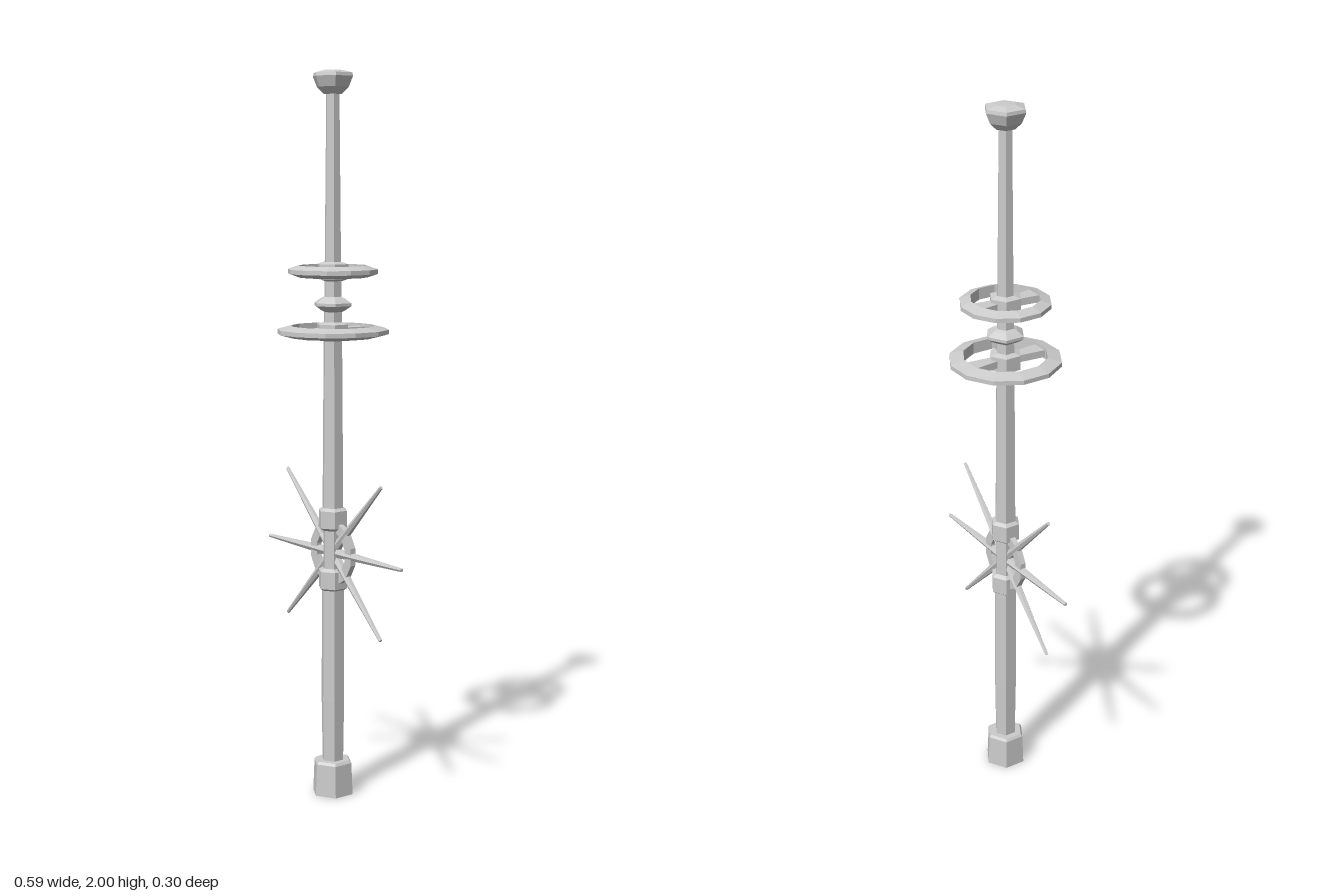
import * as THREE from 'three';

export function createModel() {
  const model = new THREE.Group();
  model.name = 'staff';
  const grey = new THREE.MeshStandardMaterial({ color: 0xcccccc, flatShading: true });

  const add = (name, geometry, parent = model) => {
    const mesh = new THREE.Mesh(geometry, grey);
    mesh.name = name;
    parent.add(mesh);
    return mesh;
  };
  // Faceted solid of revolution from [radius, y] pairs, bottom to top
  const turned = (name, points, sides = 6) =>
    add(name, new THREE.LatheGeometry(points.map(([r, y]) => new THREE.Vector2(r, y)), sides));

  // Foot and shaft
  turned('foot', [[0, 0], [0.06, 0], [0.056, 0.09], [0.05, 0.097], [0, 0.097]]);
  turned('lowerShaft', [[0.031, 0.09], [0.034, 0.27], [0.033, 0.6]]);
  turned('middleShaft', [[0.028, 0.6], [0.028, 0.8]]);
  turned('upperShaft', [[0.031, 0.8], [0.027, 1.3], [0.024, 1.47], [0.019, 1.95]]);

  // Collars either side of the star
  for (const [name, y] of [['lowerCollar', 0.615], ['upperCollar', 0.785]]) {
    turned(name, [[0.03, y - 0.032], [0.042, y - 0.024], [0.042, y + 0.024], [0.03, y + 0.032]]);
  }

  // Star: flat ring with six tapered spikes in the front plane
  const star = new THREE.Group();
  star.name = 'star';
  star.position.y = 0.69;
  model.add(star);
  const disc = new THREE.Shape();
  const hole = new THREE.Path();
  for (let i = 0; i < 12; i++) {
    const a = ((i + 0.5) / 12) * Math.PI * 2;
    const method = i ? 'lineTo' : 'moveTo';
    disc[method](0.093 * Math.cos(a), 0.093 * Math.sin(a));
    hole[method](0.064 * Math.cos(a), 0.064 * Math.sin(a));
  }
  disc.holes.push(hole);
  const ringGeometry = new THREE.ExtrudeGeometry(disc, { depth: 0.016, bevelEnabled: false });
  add('starRing', ringGeometry.translate(0, 0, -0.008), star);
  for (const degrees of [0, 45, 135, 180, 225, 315]) {
    const spike = new THREE.CylinderGeometry(0.005, 0.014, 0.297, 6);
    spike.translate(0, 0.1485, 0);
    add('spike', spike, star).rotation.z = THREE.MathUtils.degToRad(degrees - 90);
  }

  // Wheels: wedge-section rims on hubs, each with two flaring spokes
  for (const [name, y, inner, outer] of [
    ['largeWheel', 1.302, 0.115, 0.153],
    ['smallWheel', 1.465, 0.094, 0.123],
  ]) {
    const rim = turned(name + 'Rim', [
      [inner, -0.016], [outer, -0.006], [outer, 0.006], [inner, 0.016], [inner, -0.016],
    ], 12);
    rim.position.y = y;
    rim.rotation.y = Math.PI / 12;

    turned(name + 'Hub', [
      [0.026, y - 0.026], [0.045, y - 0.02], [0.045, y + 0.02], [0.026, y + 0.026],
    ]);

    for (const side of [1, -1]) {
      const end = inner + 0.006;
      const plan = new THREE.Shape([
        new THREE.Vector2(-0.014, 0.02), new THREE.Vector2(0.014, 0.02),
        new THREE.Vector2(0.025, end), new THREE.Vector2(-0.025, end),
      ]);
      const spoke = new THREE.ExtrudeGeometry(plan, { depth: 0.02, bevelEnabled: false });
      spoke.translate(0, 0, -0.01).rotateX(side * Math.PI / 2);
      add(name + 'Spoke', spoke).position.y = y;
    }
  }

  // Double-cone bead between the wheels
  turned('bead', [[0.025, 1.355], [0.036, 1.36], [0.054, 1.372], [0.054, 1.38], [0.036, 1.392], [0.025, 1.397]]);

  // Faceted pommel with a shallow domed top
  turned('pommel', [[0, 1.935], [0.027, 1.937], [0.046, 1.955], [0.058, 1.983], [0.056, 1.992], [0.028, 1.999], [0, 2]]);

  return model;
}
